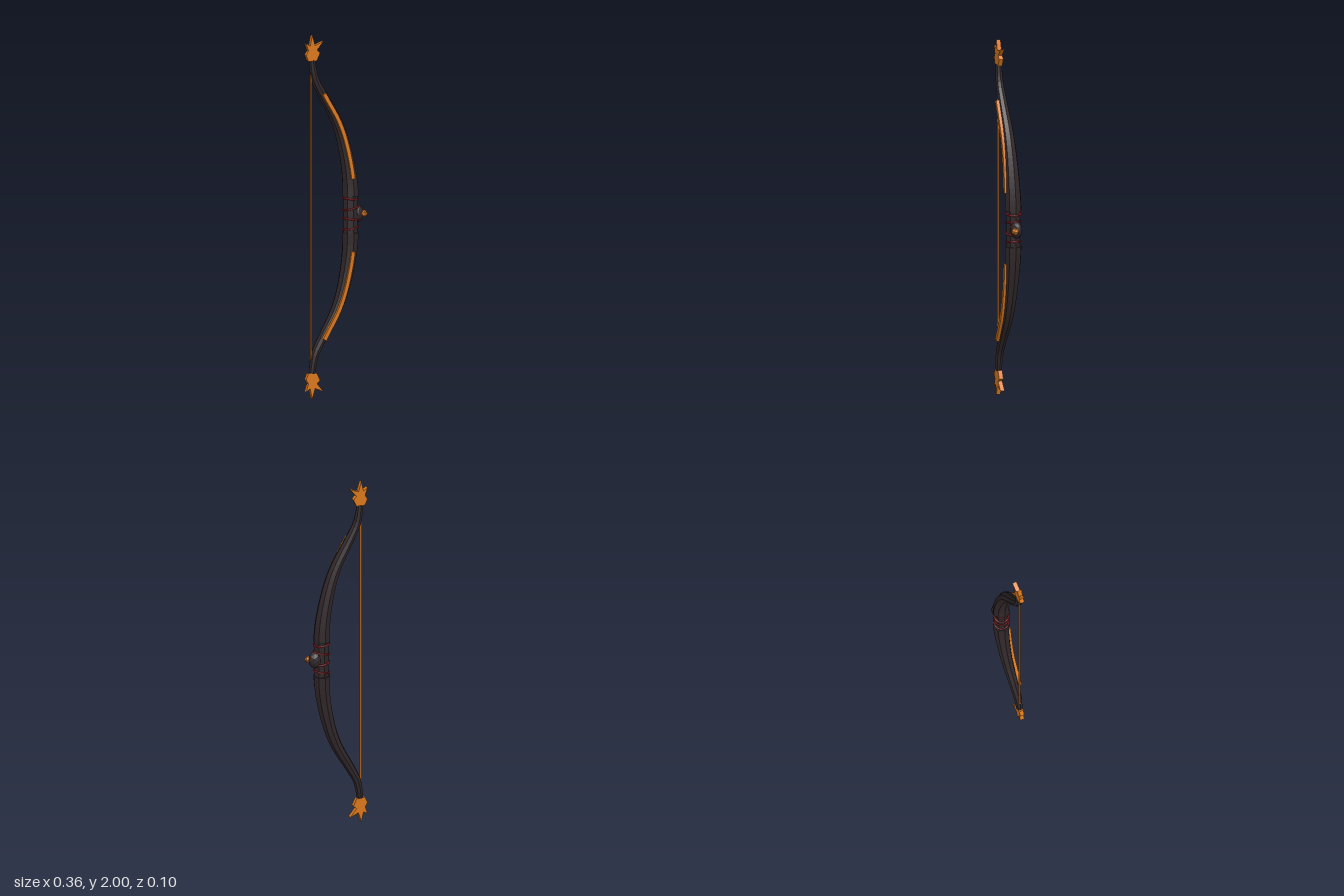
import * as THREE from 'three';

const mat = (name, color, extra = {}) => {
  const m = new THREE.MeshStandardMaterial({ color, ...extra });
  m.name = name;
  return m;
};

// Centre line of the bow, mirrored about y = 1
const half = [[0.088, 0], [0.083, 0.2], [0.045, 0.4], [0.003, 0.52], [-0.08, 0.67], [-0.125, 0.76], [-0.143, 0.865]];
const line = new THREE.CatmullRomCurve3([
  ...half.slice(1).reverse().map(([x, d]) => new THREE.Vector3(x, 1 - d, 0)),
  ...half.map(([x, d]) => new THREE.Vector3(x, 1 + d, 0)),
]);

// Curve parameter at a given height
function paramAt(y) {
  let lo = 0, hi = 1;
  for (let i = 0; i < 30; i++) {
    const mid = (lo + hi) / 2;
    if (line.getPoint(mid).y < y) lo = mid; else hi = mid;
  }
  return (lo + hi) / 2;
}

// Sweep an n-sided section along the bow; size(d) gives [halfWidth, halfDepth, zOffset]
function sweep(y0, y1, steps, sides, turn, size) {
  const pos = [], idx = [];
  for (let i = 0; i <= steps; i++) {
    const u = paramAt(y0 + (y1 - y0) * i / steps);
    const c = line.getPoint(u), t = line.getTangent(u);
    const [w, h, z] = size(Math.abs(c.y - 1));
    for (let j = 0; j < sides; j++) {
      const a = turn + j / sides * Math.PI * 2;
      pos.push(c.x + t.y * Math.cos(a) * w, c.y - t.x * Math.cos(a) * w, z + Math.sin(a) * h);
    }
  }
  for (let i = 0; i < steps; i++) {
    for (let j = 0; j < sides; j++) {
      const k = (j + 1) % sides, a = i * sides, b = a + sides;
      idx.push(a + j, b + j, a + k, b + j, b + k, a + k);
    }
  }
  const top = steps * sides;
  for (let j = 1; j < sides - 1; j++) idx.push(0, j, j + 1, top, top + j + 1, top + j);
  const g = new THREE.BufferGeometry();
  g.setAttribute('position', new THREE.Float32BufferAttribute(pos, 3));
  g.setIndex(idx);
  g.computeVertexNormals();
  return g;
}

export function createModel() {
  const dark = mat('dark wood', 0x302729, { flatShading: true });
  const gold = mat('amber gold', 0xdc781c, { flatShading: true });
  const red = mat('red cord', 0x8c171b);

  const bow = new THREE.Group();
  bow.name = 'bow';
  const add = (name, geo, m) => {
    const mesh = new THREE.Mesh(geo, m);
    mesh.name = name;
    bow.add(mesh);
    return mesh;
  };

  // Curved limbs, thick beside the grip and thin at the tips
  const limbSize = (d) => {
    const k = (d - 0.1) / 0.76;
    return [0.047 - 0.028 * k, 0.048 - 0.03 * k, 0];
  };
  add('upperLimb', sweep(1.1, 1.86, 24, 8, 0, limbSize), dark);
  add('lowerLimb', sweep(0.14, 0.9, 24, 8, 0, limbSize), dark);

  // Slimmer grip between the limbs
  add('grip', sweep(0.89, 1.11, 4, 8, 0, () => [0.042, 0.039, 0]), dark);

  // Gold inlay strips on the front face of each limb
  for (const [name, a, b] of [['upperInlay', 1.2, 1.675], ['lowerInlay', 0.325, 0.8]]) {
    add(name, sweep(a, b, 16, 4, Math.PI / 4, (d) => {
      const k = (d - 0.2) / 0.475;
      return [0.015, 0.014, 0.041 - 0.012 * k];
    }), gold);
  }

  // Slanted cord wraps around the grip
  [[1.085, -0.006], [1.035, 0.01], [0.975, -0.006], [0.925, 0.008]].forEach(([y, tilt], i) => {
    const pts = [];
    for (let j = 0; j < 12; j++) {
      const a = j / 12 * Math.PI * 2;
      pts.push(new THREE.Vector3(0.088 + 0.042 * Math.cos(a), y + tilt * Math.cos(a), 0.04 * Math.sin(a)));
    }
    add('wrap' + (i + 1), new THREE.TubeGeometry(new THREE.CatmullRomCurve3(pts, true), 24, 0.005, 6, true), red);
  });

  // Faceted boss with an amber bead on the outer side of the grip
  const boss = add('boss', new THREE.IcosahedronGeometry(1, 1), dark);
  boss.scale.set(0.04, 0.05, 0.033);
  boss.position.set(0.127, 1, -0.003);
  add('bead', new THREE.IcosahedronGeometry(0.022, 0), gold).position.set(0.16, 1, 0.015);

  // Flat clawed ornaments on both tips
  const claw = [[-0.168, 1.858], [-0.118, 1.858], [-0.098, 1.9], [-0.116, 1.917], [-0.079, 1.962],
    [-0.128, 1.943], [-0.145, 2], [-0.158, 1.942], [-0.182, 1.958], [-0.168, 1.915], [-0.182, 1.892]];
  for (const [name, flip] of [['upperClaw', false], ['lowerClaw', true]]) {
    const shape = new THREE.Shape(claw.map(([x, y]) => new THREE.Vector2(x, flip ? 2 - y : y)));
    const geo = new THREE.ExtrudeGeometry(shape, { depth: 0.024, bevelEnabled: false });
    geo.translate(0, 0, -0.012);
    add(name, geo, gold);
  }

  // Bowstring
  add('string', new THREE.CylinderGeometry(0.006, 0.006, 1.7, 6), gold).position.set(-0.147, 1, 0);

  return bow;
}
